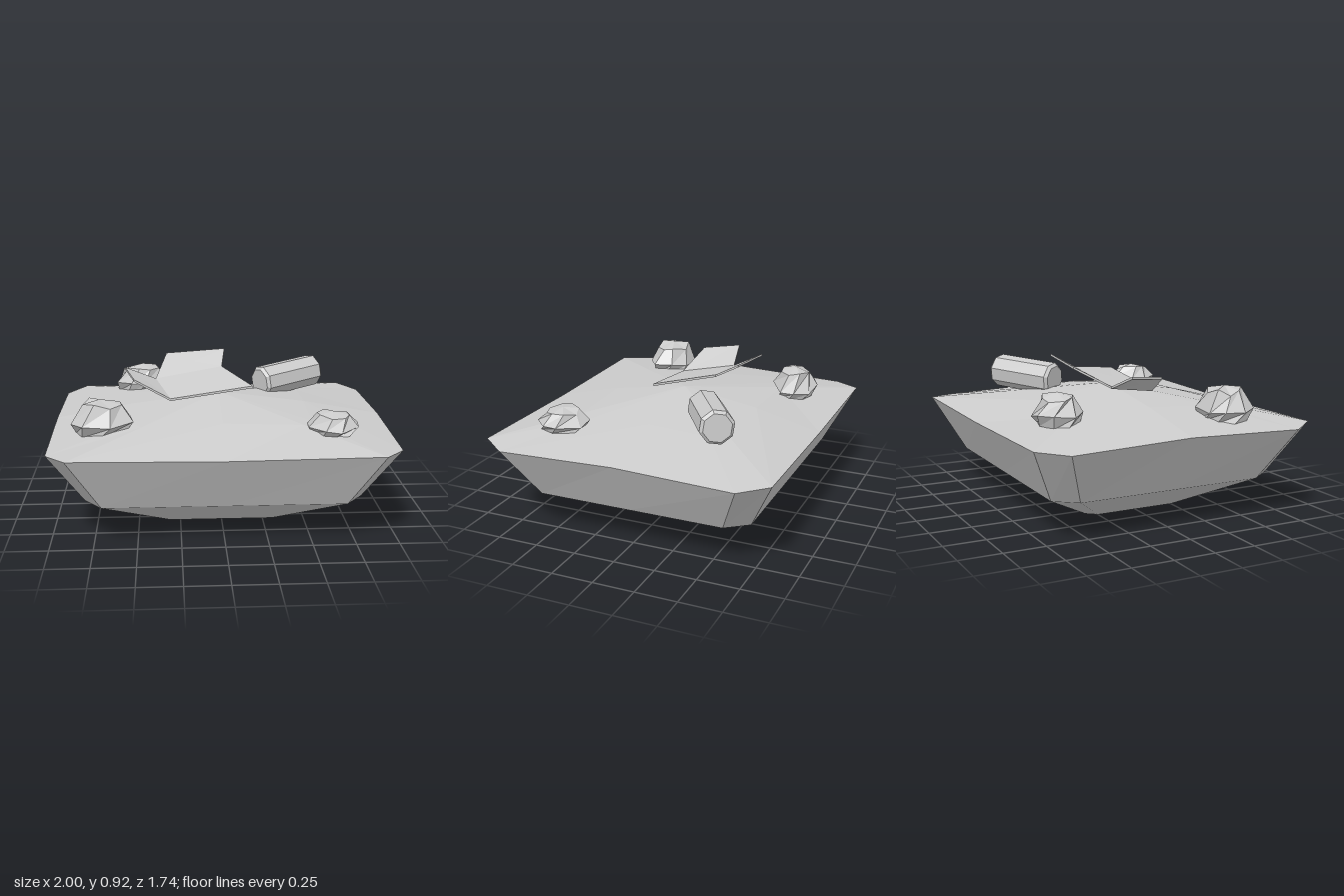
import * as THREE from 'three';

const material = new THREE.MeshStandardMaterial({ color: 0xcccccc, flatShading: true });

// Closed solid through rings of [x, y, z] points, each counter-clockwise from above
function loft(name, rings, apex) {
  const pos = [];
  const tri = (a, b, c) => pos.push(...a, ...b, ...c);
  const centre = (ring) => [0, 1, 2].map((k) => ring.reduce((s, p) => s + p[k], 0) / ring.length);
  const n = rings[0].length;
  const first = rings[0], last = rings[rings.length - 1];
  const bottom = centre(first), top = apex || centre(last);
  for (let j = 0; j < n; j++) {
    const k = (j + 1) % n;
    for (let i = 0; i < rings.length - 1; i++) {
      tri(rings[i][j], rings[i][k], rings[i + 1][k]);
      tri(rings[i][j], rings[i + 1][k], rings[i + 1][j]);
    }
    tri(first[k], first[j], bottom);
    tri(last[j], last[k], top);
  }
  const geo = new THREE.BufferGeometry();
  geo.setAttribute('position', new THREE.Float32BufferAttribute(pos, 3));
  geo.computeVertexNormals();
  const mesh = new THREE.Mesh(geo, material);
  mesh.name = name;
  return mesh;
}

// Rectangle with cut corners and a midpoint on each side
function cutRectangle(hx, hz, cx, cz, y, midX = y, midZ = y, tip = y) {
  return [
    [hx, midX, 0], [hx, tip, -cz], [cx, y, -hz], [0, midZ, -hz], [-cx, y, -hz], [-hx, tip, -cz],
    [-hx, midX, 0], [-hx, tip, cz], [-cx, y, hz], [0, midZ, hz], [cx, y, hz], [hx, tip, cz],
  ];
}

function seeded(seed) {
  return () => (seed = (seed * 16807) % 2147483647) / 2147483647;
}

// Faceted rock: uneven rings, widest low down
function rock(name, x, z, rx, rz, y0, y1, seed) {
  const rand = seeded(seed);
  for (let i = 0; i < 5; i++) rand();
  const n = 8, h = y1 - y0;
  const levels = [[0.82, 0], [1, 0.32], [0.62, 0.85]];
  const rings = levels.map(([r, t], level) => Array.from({ length: n }, (_, j) => {
    const a = ((j + level * 0.35 + (rand() - 0.5) * 0.4) / n) * Math.PI * 2;
    const s = r * (0.92 + rand() * 0.14);
    const y = y0 + h * (t + (level ? (rand() - 0.5) * 0.2 : 0));
    return [x + rx * s * Math.cos(a), y, z - rz * s * Math.sin(a)];
  }));
  return loft(name, rings, [x + 0.03 * (rand() - 0.5), y1, z]);
}

// Thin plate below four top corners
function plate(name, corners) {
  return loft(name, [corners.map(([x, y, z]) => [x, y - 0.014, z]), corners]);
}

export function createModel() {
  const model = new THREE.Group();
  model.name = 'debrisMound';

  // Tapered body with a shallow peaked top
  model.add(loft('base', [
    cutRectangle(0.36, 0.31, 0.31, 0.25, 0),
    cutRectangle(0.8, 0.7, 0.7, 0.57, 0.23),
    cutRectangle(1, 0.87, 0.88, 0.71, 0.56, 0.57, 0.55, 0.547),
    cutRectangle(0.53, 0.47, 0.47, 0.38, 0.635, 0.655, 0.65, 0.635),
  ], [0, 0.725, 0]));

  // Rocks
  model.add(rock('backLeftRock', -0.49, -0.56, 0.18, 0.14, 0.6, 0.785, 11));
  model.add(rock('frontLeftRock', -0.7, 0.39, 0.19, 0.16, 0.58, 0.785, 29));
  model.add(rock('frontRightRock', 0.635, 0.5, 0.15, 0.16, 0.6, 0.725, 47));

  // Fallen drum with bevelled ends
  const profile = [[0, -0.225], [0.085, -0.225], [0.103, -0.207], [0.103, 0.207], [0.085, 0.225], [0, 0.225]]
    .map(([r, y]) => new THREE.Vector2(r, y));
  const drum = new THREE.Mesh(new THREE.LatheGeometry(profile, 8), material);
  drum.name = 'drum';
  drum.position.set(0.467, 0.735, -0.36);
  drum.quaternion.setFromUnitVectors(
    new THREE.Vector3(0, 1, 0), new THREE.Vector3(0.38, 0.028, -0.235).normalize());
  model.add(drum);

  // Bent sheet: middle plate, left wing and raised back flap
  const backLeft = [-0.39, 0.77, -0.175], backRight = [0.03, 0.835, -0.215];
  const frontLeft = [-0.3, 0.718, 0.145], frontRight = [0.2, 0.785, 0.12];
  const sheet = new THREE.Group();
  sheet.name = 'bentSheet';
  sheet.add(plate('sheetMiddle', [frontRight, backRight, backLeft, frontLeft]));
  sheet.add(plate('sheetWing', [frontLeft, backLeft, [-0.58, 0.852, -0.14], [-0.52, 0.825, 0.085]]));
  sheet.add(plate('sheetFlap', [backRight, [0.055, 0.92, -0.365], [-0.32, 0.89, -0.385], backLeft]));
  model.add(sheet);

  return model;
}
